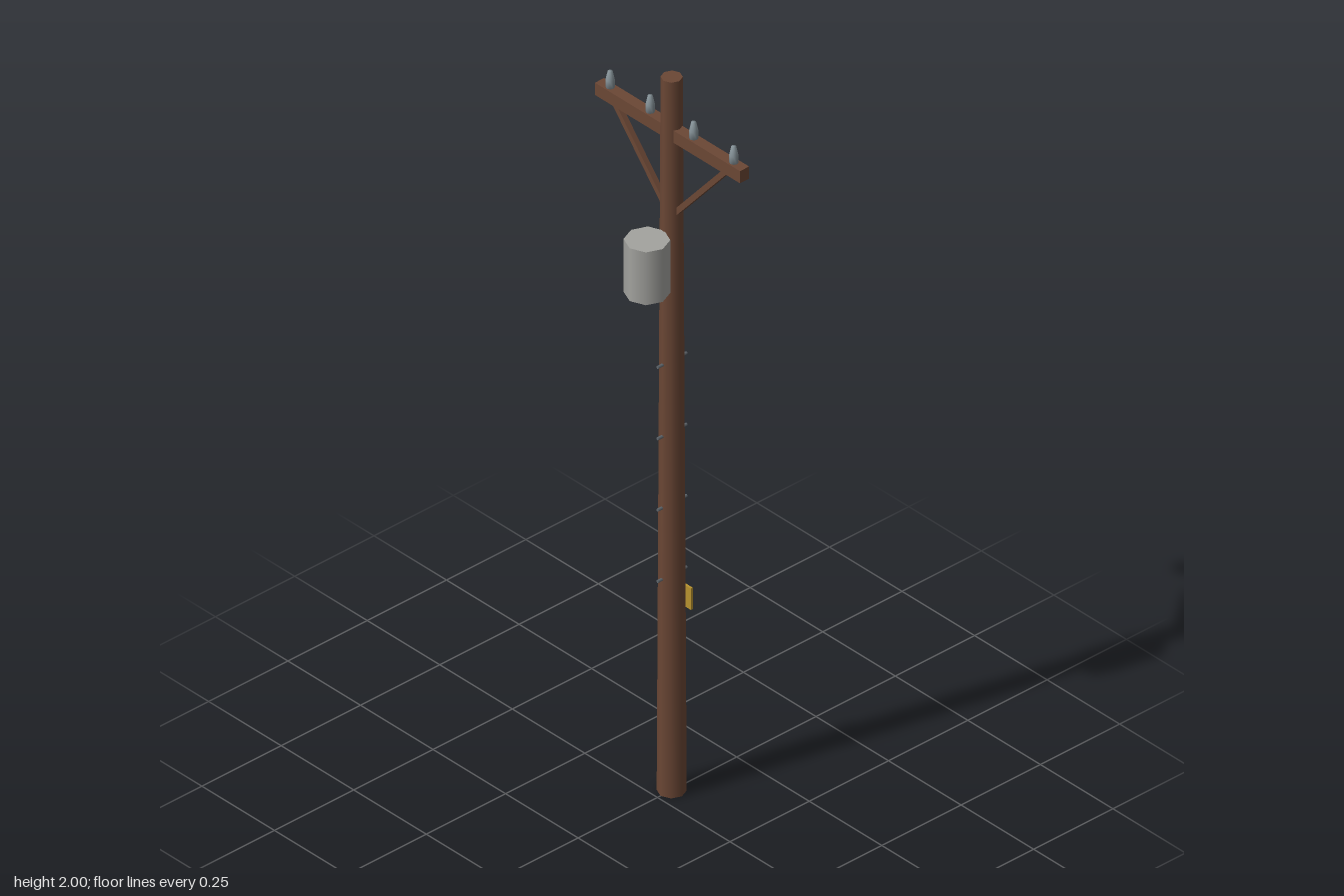
import * as THREE from 'three';

export function createModel() {
  const model = new THREE.Group();
  model.name = 'utilityPole';
  const mat = (name, color) => {
    const m = new THREE.MeshStandardMaterial({ color });
    m.name = name;
    return m;
  };
  const wood = mat('brownWood', 0x6b4735);
  const tankGrey = mat('tankGrey', 0xa3a39f);
  const glass = mat('insulatorGrey', 0x87949a);
  const steel = mat('stepSteel', 0x5f666c);
  const yellow = mat('signYellow', 0xb8922e);
  const poleZ = -0.045;

  const add = (name, geometry, material, x, y, z) => {
    const mesh = new THREE.Mesh(geometry, material);
    mesh.name = name;
    mesh.position.set(x, y, z);
    model.add(mesh);
    return mesh;
  };

  // Tapered eight-sided pole
  add('pole', new THREE.CylinderGeometry(0.026, 0.035, 2, 8), wood, 0, 1, poleZ);

  // Crossarm with a diagonal brace on each side
  add('crossarm', new THREE.BoxGeometry(0.5, 0.034, 0.029), wood, 0, 1.848, poleZ - 0.001);
  for (const side of [-1, 1]) {
    const top = new THREE.Vector2(0.197, 1.838);
    const foot = new THREE.Vector2(0.018, 1.63);
    const dir = top.clone().sub(foot);
    const brace = add('brace', new THREE.BoxGeometry(0.014, dir.length(), 0.014), wood,
      side * (top.x + foot.x) / 2, (top.y + foot.y) / 2, poleZ);
    brace.rotation.z = -side * Math.atan2(dir.x, dir.y);
  }

  // Insulators along the crossarm
  const profile = [[0, 0], [0.011, 0], [0.011, 0.022], [0.006, 0.046], [0, 0.046]]
    .map(([r, y]) => new THREE.Vector2(r, y));
  const insulator = new THREE.LatheGeometry(profile, 8);
  for (const x of [-0.213, -0.075, 0.075, 0.213]) {
    add('insulator', insulator, glass, x, 1.864, poleZ - 0.001);
  }

  // Transformer tank on the front
  add('transformerTank', new THREE.CylinderGeometry(0.0545, 0.0545, 0.148, 8), tankGrey, 0, 1.505, 0.033);

  // Climbing steps pass right through the pole
  const step = new THREE.CylinderGeometry(0.004, 0.004, 0.092, 6);
  for (const y of [0.605, 0.805, 1.005, 1.205]) {
    add('climbingStep', step, steel, 0, y, poleZ - 0.001).rotation.x = Math.PI / 2;
  }

  // Sign plate on the back
  add('signPlate', new THREE.BoxGeometry(0.06, 0.06, 0.006), yellow, 0, 0.535, -0.081);

  return model;
}
